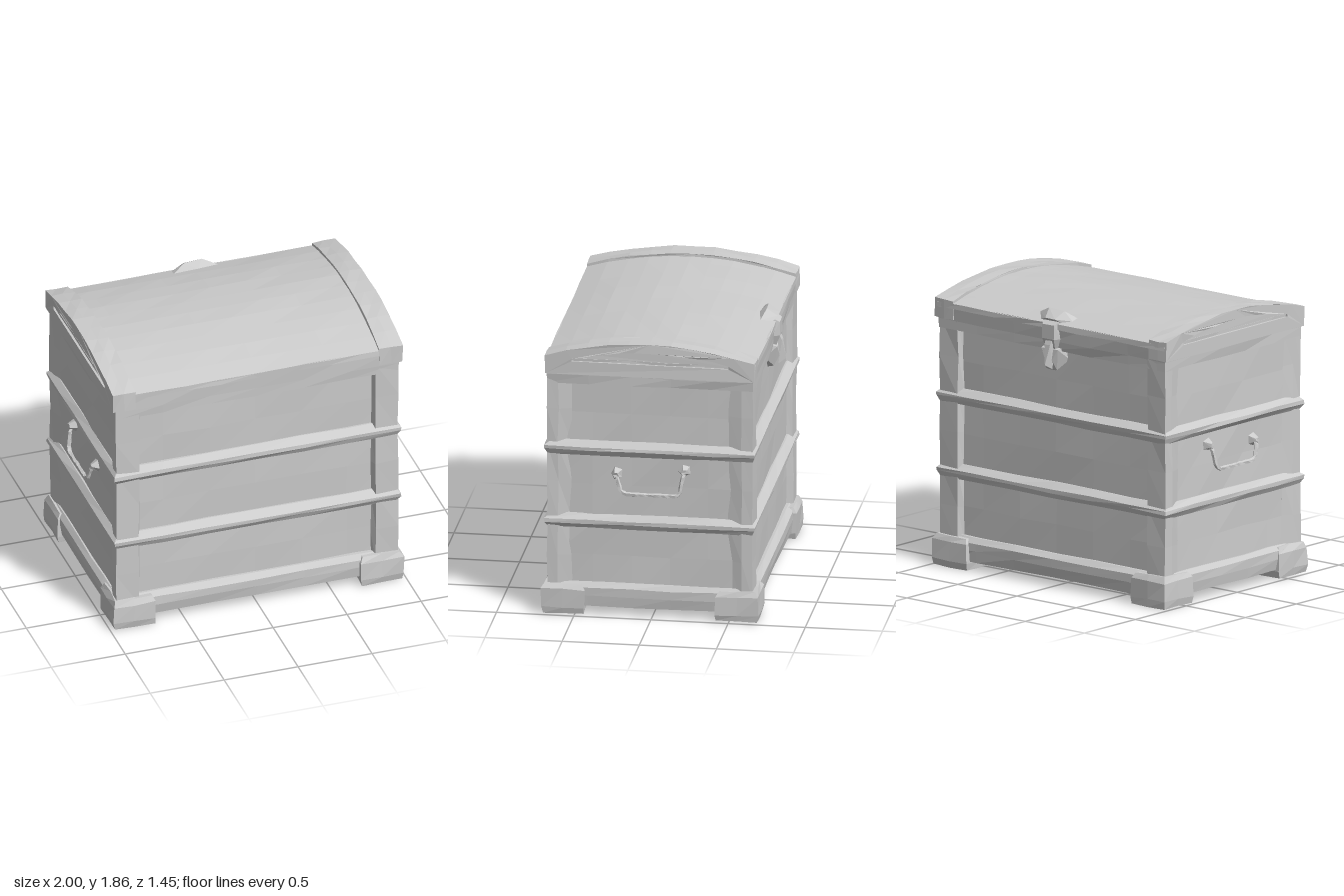
import * as THREE from 'three';
import { ConvexGeometry } from 'three/addons/geometries/ConvexGeometry.js';

const material = new THREE.MeshStandardMaterial({ color: 0xcccccc, flatShading: true });

// Hand-carved unevenness: the offset depends on position, so touching corners stay joined
function roughen(geometry, amount) {
  const p = geometry.attributes.position;
  const v = new THREE.Vector3();
  const noise = (k) => {
    const s = Math.sin(Math.round(v.x * 500) * 12.99 + Math.round(v.y * 500) * 78.23 + Math.round(v.z * 500) * 37.72 + k) * 43758.55;
    return ((s - Math.floor(s)) * 2 - 1) * amount;
  };
  for (let i = 0; i < p.count; i++) {
    v.fromBufferAttribute(p, i);
    p.setXYZ(i, v.x + noise(1), v.y + noise(2), v.z + noise(3));
  }
  geometry.computeVertexNormals();
  return geometry;
}

// Stack of rectangles, each level [y, half width, front z, back z]
function stack(levels, nx = 6, nz = 5) {
  const n = levels.length - 1;
  const g = new THREE.BoxGeometry(2, 1, 1, nx, n, nz);
  const p = g.attributes.position;
  for (let i = 0; i < p.count; i++) {
    const [y, hx, front, back] = levels[Math.round((p.getY(i) + 0.5) * n)];
    p.setXYZ(i, p.getX(i) * hx, y, THREE.MathUtils.lerp(back, front, p.getZ(i) + 0.5));
  }
  return g;
}

// Lid cross-section in (z, y): an arch over a straight bottom
function archPoints(front, back, bottom, edge, peak) {
  const pts = [[front, bottom]];
  for (let i = 0; i <= 10; i++) {
    const t = i / 10;
    pts.push([THREE.MathUtils.lerp(front, back, t), edge + (peak - edge) * (1 - Math.abs(2 * t - 1) ** 2)]);
  }
  pts.push([back, bottom]);
  return pts.map(([z, y]) => new THREE.Vector2(-z, y));
}

// Extrude a (-z, y) shape along x from x0 to x1
function extrudeX(shape, x0, x1, steps) {
  const g = new THREE.ExtrudeGeometry(shape, { depth: x1 - x0, bevelEnabled: false, steps });
  return g.rotateY(Math.PI / 2).translate(x0, 0, 0);
}

export function createModel() {
  const chest = new THREE.Group();
  chest.name = 'chest';
  const add = (name, geometry, rough = 0.004, parent = chest) => {
    const mesh = new THREE.Mesh(roughen(geometry, rough), material);
    mesh.name = name;
    parent.add(mesh);
    return mesh;
  };

  // Recessed panels on all four sides
  add('panels', stack([[0.1, 0.93, 0.635, -0.61], [0.4, 0.928, 0.638, -0.612],
    [0.62, 0.93, 0.635, -0.61], [0.88, 0.928, 0.638, -0.612], [1.12, 0.93, 0.635, -0.61],
    [1.36, 0.928, 0.638, -0.612], [1.65, 0.93, 0.635, -0.61]]), 0.005);

  // Plinth, two raised bands and the top rail
  add('plinth', stack([[0.06, 0.955, 0.68, -0.655], [0.13, 0.965, 0.69, -0.665],
    [0.185, 0.965, 0.69, -0.665], [0.215, 0.94, 0.655, -0.63]]));
  for (const y of [0.63, 1.125]) {
    add('band', stack([[y - 0.045, 0.948, 0.676, -0.65], [y - 0.01, 0.97, 0.697, -0.667],
      [y + 0.015, 0.97, 0.697, -0.667], [y + 0.05, 0.935, 0.645, -0.62]]));
  }
  add('topRail', stack([[1.56, 0.952, 0.676, -0.652], [1.62, 0.958, 0.68, -0.657],
    [1.735, 0.965, 0.683, -0.667]]));

  // Corner posts, fading into the end panels
  for (const sx of [-1, 1]) {
    for (const front of [true, false]) {
      const zSign = front ? 1 : -1;
      const outer = front ? 0.678 : 0.652;
      const pts = [[0.952, outer], [0.8, outer], [0.78, outer - 0.05], [0.88, outer - 0.1], [0.926, outer - 0.16], [0.95, outer - 0.07]];
      const shape = new THREE.Shape(pts.map(([x, z]) => new THREE.Vector2(sx * x, -zSign * z)));
      const g = new THREE.ExtrudeGeometry(shape, { depth: 1.48, steps: 6, bevelEnabled: false });
      add('cornerPost', g.rotateX(-Math.PI / 2).translate(0, 0.15, 0), 0.005);
    }
  }

  // Feet: chunky blocks with softened tops
  for (const sx of [-1, 1]) {
    for (const sz of [-1, 1]) {
      const zOut = sz > 0 ? 0.715 : 0.69;
      const foot = new THREE.BoxGeometry(0.29, 0.2, 0.28, 2, 3, 2);
      const p = foot.attributes.position;
      const inset = [0.008, 0, 0.002, 0.022];
      for (let i = 0; i < p.count; i++) {
        const row = Math.round((p.getY(i) / 0.2 + 0.5) * 3);
        const y = [0.005, 0.05, 0.17, 0.207][row];
        const k = 1 - inset[row] / 0.14;
        p.setXYZ(i, p.getX(i) * k + sx * 0.838, y, p.getZ(i) * k + sz * (zOut - 0.14));
      }
      add('foot', foot, 0.006);
    }
  }

  // Arched lid with a raised rim at each end
  add('lid', extrudeX(new THREE.Shape(archPoints(0.686, -0.67, 1.7, 1.735, 1.838)), -0.962, 0.962, 8), 0.003);
  for (const sx of [-1, 1]) {
    const rim = new THREE.Shape(archPoints(0.688, -0.668, 1.63, 1.755, 1.856));
    rim.holes.push(new THREE.Path(archPoints(0.52, -0.5, 1.715, 1.735, 1.795).reverse()));
    const [x0, x1] = sx > 0 ? [0.825, 0.98] : [-0.98, -0.825];
    add('lidRim', extrudeX(rim, x0, x1, 2), 0.004);
  }

  // Drop handles on both ends
  for (const sx of [-1, 1]) {
    const handle = new THREE.Group();
    handle.name = 'handle';
    chest.add(handle);
    const path = new THREE.CurvePath();
    const pts = [[0.94, 1.0, -0.215], [0.967, 0.97, -0.205], [0.982, 0.86, -0.185], [0.986, 0.838, -0.16],
      [0.986, 0.838, 0.17], [0.982, 0.86, 0.2], [0.967, 0.94, 0.225], [0.94, 0.965, 0.23]]
      .map(([x, y, z]) => new THREE.Vector3(sx * x, y, z));
    for (let i = 1; i < pts.length; i++) path.add(new THREE.LineCurve3(pts[i - 1], pts[i]));
    add('handleBar', new THREE.TubeGeometry(path, 28, 0.014, 5), 0.002, handle);
    for (const [y, z] of [[1.0, -0.21], [0.96, 0.23]]) {
      const mount = new THREE.CylinderGeometry(0.018, 0.045, 0.05, 5).rotateZ(-sx * Math.PI / 2);
      add('handleMount', mount.translate(sx * 0.95, y, z), 0.004, handle);
    }
  }

  // Clasp on the back: a leaf over the lid edge and a tapering hasp
  const clasp = new THREE.Group();
  clasp.name = 'clasp';
  chest.add(clasp);
  const hull = (name, pts) => add(name, new ConvexGeometry(pts.map((q) => new THREE.Vector3(...q))), 0.002, clasp);
  hull('claspLeaf', [[-0.14, 1.775, -0.57], [0.02, 1.785, -0.56], [0.16, 1.775, -0.585], [0.09, 1.75, -0.66],
    [-0.08, 1.75, -0.66], [-0.14, 1.76, -0.62], [-0.06, 1.815, -0.605], [0.06, 1.82, -0.61], [0.04, 1.77, -0.68], [-0.04, 1.77, -0.68]]);
  hull('claspStrap', [[-0.065, 1.76, -0.645], [0.065, 1.76, -0.645], [-0.05, 1.73, -0.695], [0.05, 1.73, -0.695],
    [-0.075, 1.64, -0.65], [0.075, 1.64, -0.65], [-0.05, 1.64, -0.695], [0.05, 1.64, -0.695], [-0.03, 1.52, -0.65], [0.03, 1.52, -0.65]]);
  hull('claspLock', [[-0.09, 1.59, -0.6], [0.09, 1.59, -0.6], [-0.07, 1.57, -0.68], [0.07, 1.57, -0.68],
    [-0.1, 1.5, -0.6], [0.1, 1.5, -0.6], [0.02, 1.41, -0.6], [-0.04, 1.43, -0.655], [0.04, 1.43, -0.655], [0.03, 1.5, -0.69], [-0.03, 1.5, -0.69]]);
  hull('claspTip', [[-0.03, 1.65, -0.68], [0.03, 1.65, -0.68], [-0.025, 1.6, -0.705], [0.025, 1.6, -0.705],
    [0, 1.47, -0.728], [-0.025, 1.44, -0.68], [0.025, 1.44, -0.68]]);

  return chest;
}
